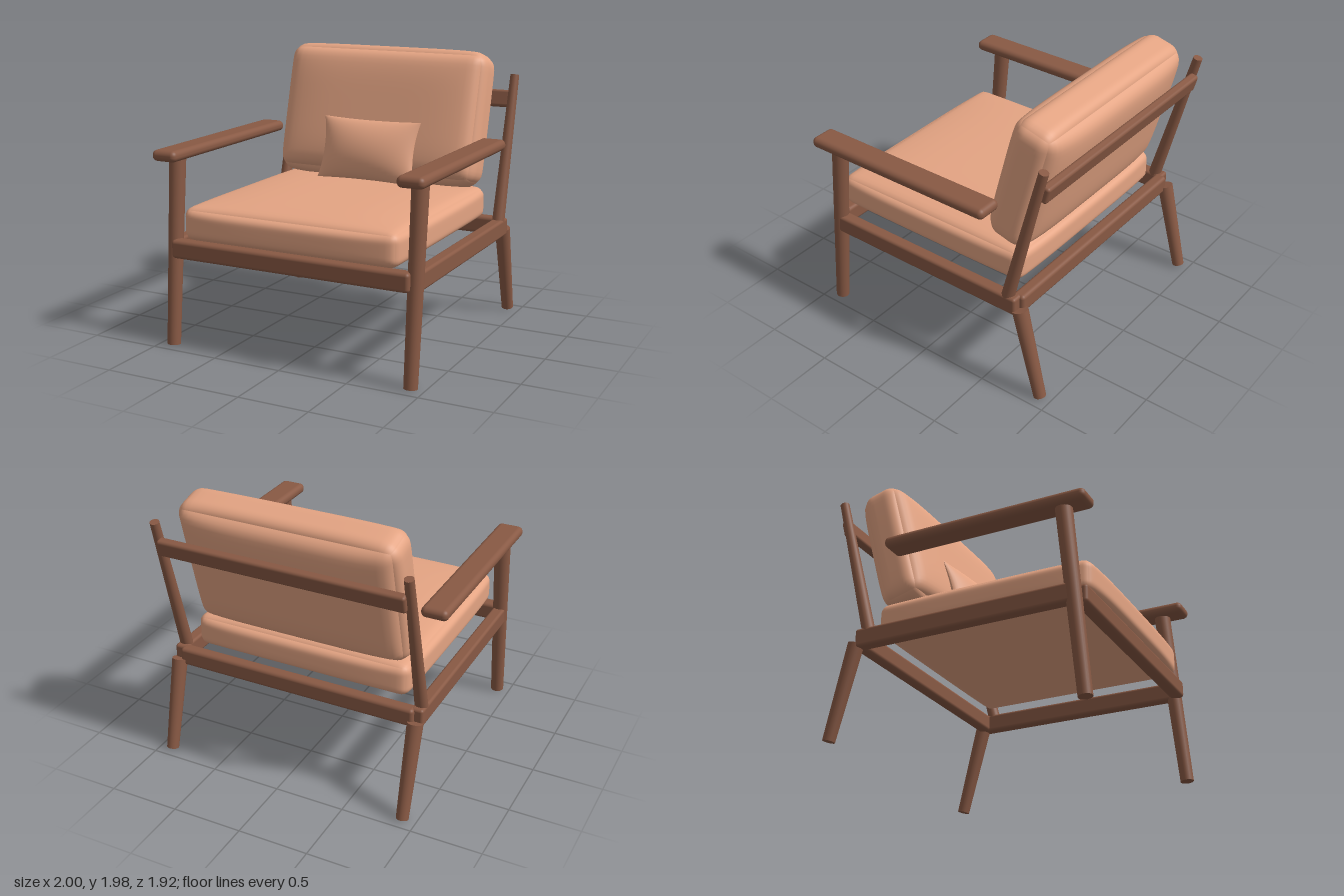
import * as THREE from 'three';
import { mergeVertices, mergeGeometries } from 'three/addons/utils/BufferGeometryUtils.js';
import { RoundedBoxGeometry } from 'three/addons/geometries/RoundedBoxGeometry.js';

const wood = new THREE.MeshStandardMaterial({ color: 0x885944 });
wood.name = 'walnut wood';
const fabric = new THREE.MeshStandardMaterial({ color: 0xe4a483 });
fabric.name = 'terracotta fabric';

function add(parent, name, geometry, material, x = 0, y = 0, z = 0, tilt = 0) {
  const mesh = new THREE.Mesh(geometry, material);
  mesh.name = name;
  mesh.position.set(x, y, z);
  mesh.rotation.x = tilt;
  parent.add(mesh);
}

// Tapered round pole from a low point to a high point, both given as [y, z]
function addPole(parent, name, x, [y0, z0], [y1, z1], r0, r1) {
  const length = Math.hypot(y1 - y0, z1 - z0);
  const geometry = new THREE.CylinderGeometry(r1, r0, length, 24);
  add(parent, name, geometry, wood, x, (y0 + y1) / 2, (z0 + z1) / 2, Math.atan2(z1 - z0, y1 - y0));
}

// Rounded block whose six faces swell in the middle.
// half: half sizes; swell: [sides, top, bottom, front, back]; power: flatness of the swelling
function cushionGeometry(half, r, [sides, top, bottom, front, back], power) {
  let g = new THREE.BoxGeometry(2, 2, 2, 28, 28, 28);
  g.deleteAttribute('uv');
  g.deleteAttribute('normal');
  g = mergeVertices(g);
  const pos = g.attributes.position;
  const p = new THREE.Vector3();
  const inner = new THREE.Vector3();
  const core = half.clone().subScalar(r);
  const low = core.clone().negate();
  const bulge = (a, b) => (1 - Math.abs(a) ** power) * (1 - Math.abs(b) ** power);
  for (let i = 0; i < pos.count; i++) {
    // crowd the grid towards the edges, then round them
    p.fromBufferAttribute(pos, i);
    const [u, v, w] = p.toArray().map((t) => Math.sin(t * Math.PI / 2));
    p.set(u, v, w).multiply(half);
    inner.copy(p).clamp(low, core);
    p.sub(inner).setLength(r).add(inner);
    p.x += u * sides * bulge(v, w);
    p.y += v * (v > 0 ? top : bottom) * bulge(u, w);
    p.z += w * (w > 0 ? front : back) * bulge(u, v);
    pos.setXYZ(i, p.x, p.y, p.z);
  }
  g.computeVertexNormals();
  return g;
}

// Pillow with pinched corners: two swollen faces meeting at a sharp seam
function pillowGeometry(hw, hh, thickness) {
  const faces = [1, -1].map((side) => {
    const g = new THREE.PlaneGeometry(2, 2, 24, 24);
    if (side < 0) g.rotateY(Math.PI);
    const pos = g.attributes.position;
    for (let i = 0; i < pos.count; i++) {
      const u = Math.sin(pos.getX(i) * Math.PI / 2);
      const v = Math.sin(pos.getY(i) * Math.PI / 2);
      const a = Math.max(0, 1 - u * u), b = Math.max(0, 1 - v * v);
      pos.setXYZ(i, hw * u * (1 - 0.08 * b), hh * v * (1 - 0.05 * a),
        side * thickness * Math.pow(a * b, 0.6));
    }
    g.computeVertexNormals();
    return g;
  });
  return mergeGeometries(faces);
}

export function createModel() {
  const chair = new THREE.Group();
  chair.name = 'armchair';

  // Legs, posts, arms and side rails, mirrored
  for (const [side, s] of [['left', 1], ['right', -1]]) {
    const x = s * 0.905;
    addPole(chair, side + 'FrontLeg', x, [0.004, 0.895], [1.31, 0.78], 0.047, 0.058);
    addPole(chair, side + 'BackLeg', x, [0.012, -0.917], [0.67, -0.75], 0.043, 0.055);
    addPole(chair, side + 'BackPost', x, [0.73, -0.65], [1.79, -0.92], 0.045, 0.032);
    add(chair, side + 'Armrest', new RoundedBoxGeometry(0.19, 0.078, 1.475, 4, 0.036), wood,
      x, 1.345, 0.221);
    add(chair, side + 'SideRail', new RoundedBoxGeometry(0.09, 0.13, 1.57, 3, 0.02), wood,
      x, 0.695, 0.05);
  }

  // Cross rails
  add(chair, 'frontRail', new RoundedBoxGeometry(1.78, 0.13, 0.1, 3, 0.025), wood, 0, 0.695, 0.868);
  add(chair, 'backRail', new RoundedBoxGeometry(1.78, 0.13, 0.09, 3, 0.025), wood, 0, 0.695, -0.72);
  add(chair, 'topRail', new RoundedBoxGeometry(1.78, 0.125, 0.065, 3, 0.02), wood, 0, 1.612, -0.905, -0.25);

  // Cushions
  add(chair, 'seatCushion',
    cushionGeometry(new THREE.Vector3(0.8, 0.117, 0.78), 0.065, [0.018, 0.041, 0, 0.028, 0.02], 4),
    fabric, 0, 0.878, 0.12);
  add(chair, 'backCushion',
    cushionGeometry(new THREE.Vector3(0.788, 0.478, 0.15), 0.1, [0.01, 0.015, 0.025, 0.055, 0.06], 5),
    fabric, 0, 1.485, -0.622, -0.26);
  add(chair, 'lumbarPillow', pillowGeometry(0.39, 0.23, 0.11), fabric, 0, 1.25, -0.335, -0.285);

  return chair;
}
